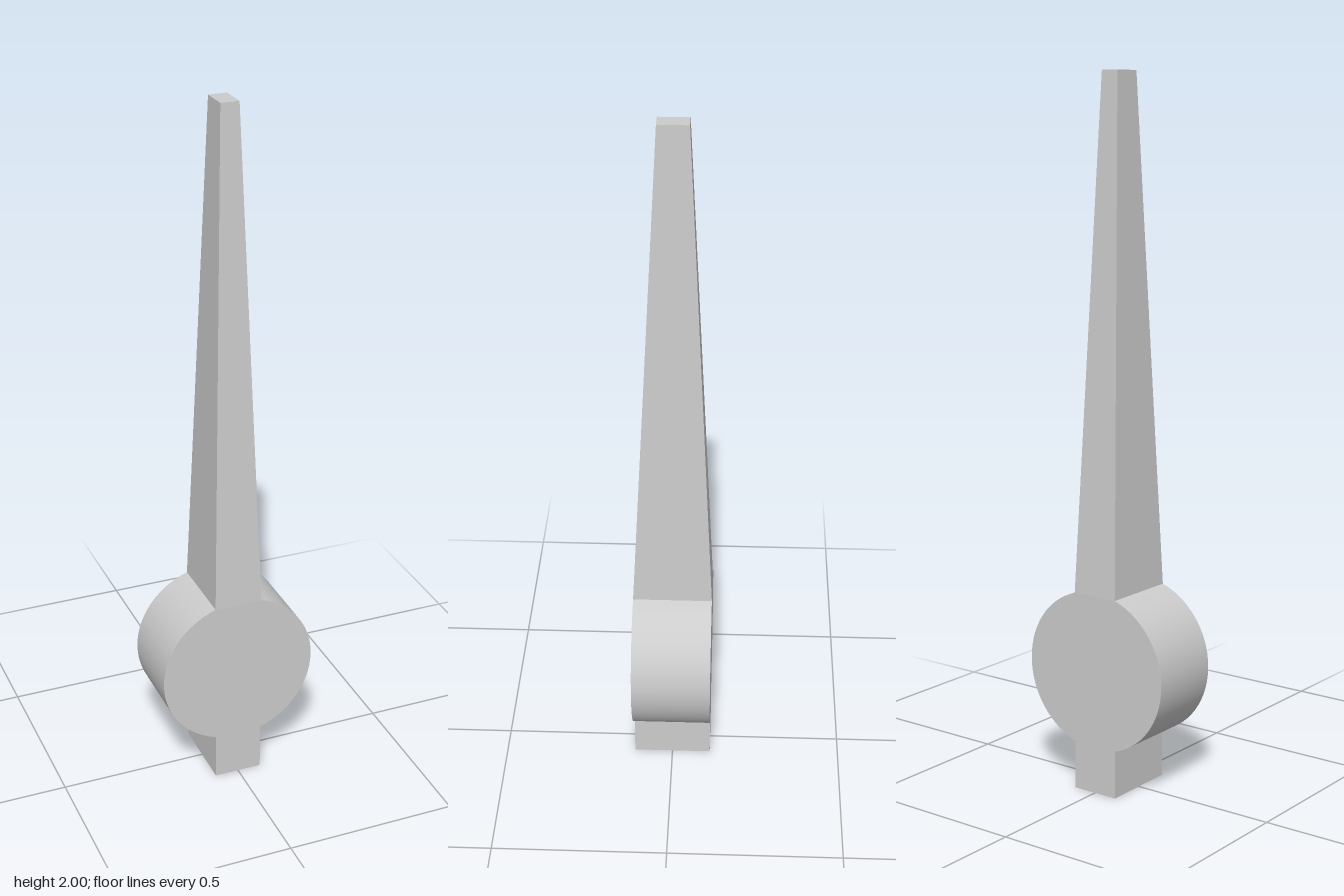
import * as THREE from 'three';
import { toCreasedNormals } from 'three/addons/utils/BufferGeometryUtils.js';

const DEPTH = 0.226, HALF_WIDTH = 0.07;  // shared by hub, tail and blade root
const RADIUS = 0.228, CENTRE_Y = 0.355;  // hub disc
const CHORD = Math.sqrt(RADIUS ** 2 - HALF_WIDTH ** 2);
const HEIGHT = 2, TIP_WIDTH = 0.052, TIP_DEPTH = 0.084;

// Upright box whose top end may be narrower than its base
function taperedBox(y0, y1, topWidth, topDepth) {
  const width = HALF_WIDTH * 2;
  const geometry = new THREE.BoxGeometry(width, y1 - y0, DEPTH);
  geometry.translate(0, (y0 + y1) / 2, 0);
  const p = geometry.attributes.position;
  for (let i = 0; i < p.count; i++) {
    if (p.getY(i) < (y0 + y1) / 2) continue;
    p.setX(i, p.getX(i) * topWidth / width);
    p.setZ(i, p.getZ(i) * topDepth / DEPTH);
  }
  geometry.computeVertexNormals();
  return geometry;
}

// Disc with flats at top and bottom where the blade and tail join
function hubGeometry() {
  const a = Math.atan2(CHORD, HALF_WIDTH);
  const shape = new THREE.Shape();
  shape.absarc(0, CENTRE_Y, RADIUS, -a, a, false);
  shape.absarc(0, CENTRE_Y, RADIUS, Math.PI - a, Math.PI + a, false);
  shape.closePath();
  const geometry = new THREE.ExtrudeGeometry(shape, { depth: DEPTH, bevelEnabled: false, curveSegments: 14 });
  geometry.translate(0, 0, -DEPTH / 2);
  return toCreasedNormals(geometry, Math.PI / 9);
}

export function createModel() {
  const group = new THREE.Group();
  group.name = 'clockHand';
  const material = new THREE.MeshStandardMaterial({ color: 0xcccccc });
  const add = (name, geometry) => {
    const mesh = new THREE.Mesh(geometry, material);
    mesh.name = name;
    group.add(mesh);
  };

  add('tail', taperedBox(0, CENTRE_Y - CHORD, HALF_WIDTH * 2, DEPTH));
  add('hub', hubGeometry());
  add('blade', taperedBox(CENTRE_Y + CHORD, HEIGHT, TIP_WIDTH, TIP_DEPTH));
  return group;
}
